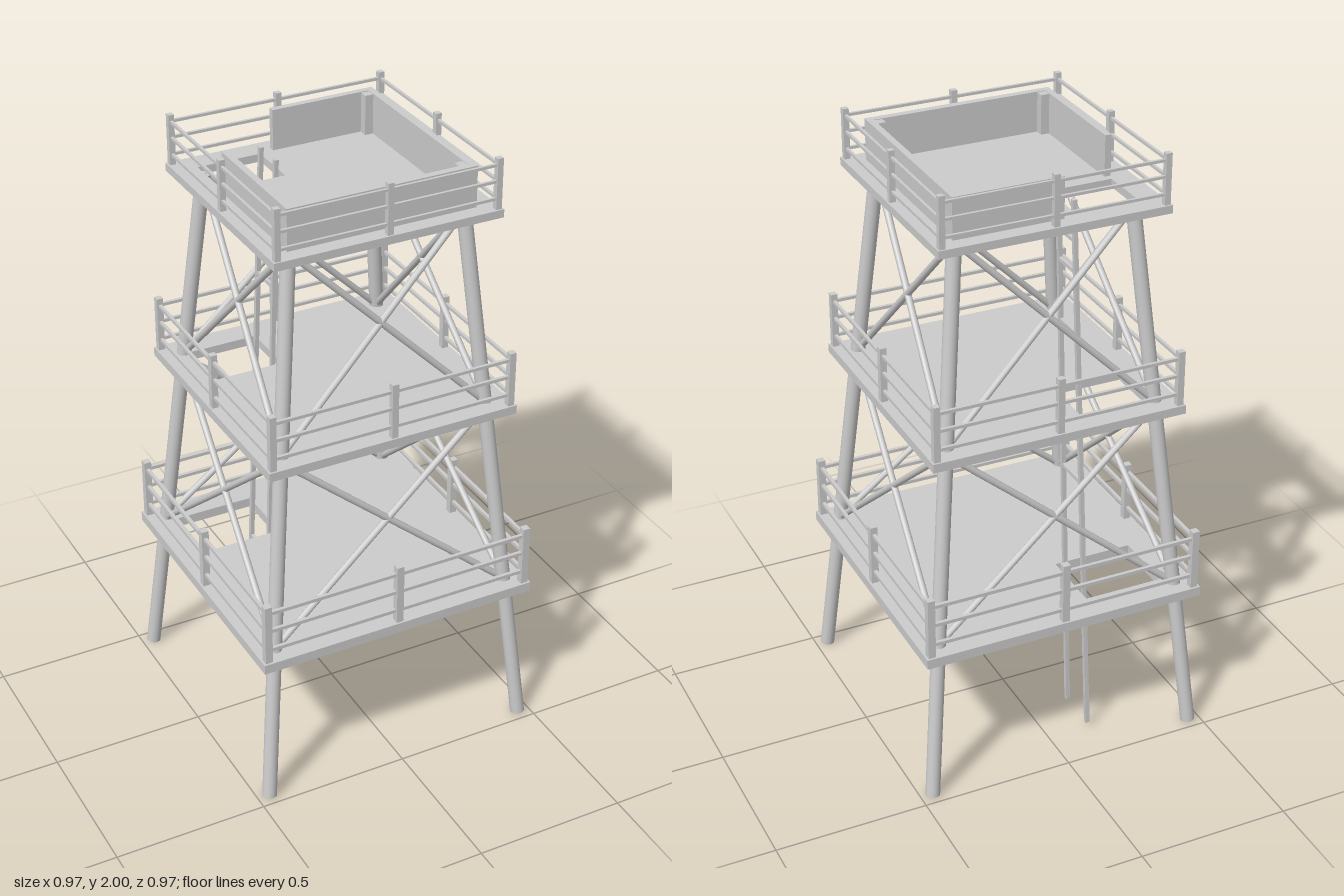
import * as THREE from 'three';

const material = new THREE.MeshStandardMaterial({ color: 0xcccccc });
const UP = new THREE.Vector3(0, 1, 0);

function add(parent, name, geometry) {
  const mesh = new THREE.Mesh(geometry, material);
  mesh.name = name;
  parent.add(mesh);
  return mesh;
}

function box(parent, name, x0, x1, y0, y1, z0, z1) {
  add(parent, name, new THREE.BoxGeometry(x1 - x0, y1 - y0, z1 - z0))
    .position.set((x0 + x1) / 2, (y0 + y1) / 2, (z0 + z1) / 2);
}

// Bar between two points: square when sides is 4, otherwise round
function bar(parent, name, a, b, size, sides = 4) {
  const length = a.distanceTo(b);
  const geometry = sides === 4
    ? new THREE.BoxGeometry(size, length, size)
    : new THREE.CylinderGeometry(size / 2, size / 2, length, sides);
  const mesh = add(parent, name, geometry);
  mesh.position.lerpVectors(a, b, 0.5);
  mesh.quaternion.setFromUnitVectors(UP, b.clone().sub(a).normalize());
}

// Floor with a ladder hatch, surrounded by a railing; built at unit size, then scaled
function makeDeck(name, y, scale) {
  const deck = new THREE.Group();
  deck.name = name;
  const half = 0.374, line = 0.359, height = 0.163;

  const shape = new THREE.Shape([
    new THREE.Vector2(-half, -half), new THREE.Vector2(half, -half),
    new THREE.Vector2(half, half), new THREE.Vector2(-half, half)]);
  shape.holes.push(new THREE.Path([
    new THREE.Vector2(-0.3, -0.3), new THREE.Vector2(-0.3, -0.127),
    new THREE.Vector2(-0.09, -0.127), new THREE.Vector2(-0.09, -0.3)]));
  const floor = new THREE.ExtrudeGeometry(shape, { depth: 0.026, bevelEnabled: false });
  add(deck, 'floor', floor.rotateX(Math.PI / 2));

  for (const i of [-1, 0, 1]) for (const j of [-1, 0, 1]) {
    if (i === 0 && j === 0) continue;
    const x = i * line, z = j * line, r = 0.0095;
    box(deck, 'railingPost', x - r, x + r, -0.022, height, z - r, z + r);
  }
  for (const level of [0.2, 0.54, 0.86]) for (const s of [-1, 1]) {
    const h = level * height;
    bar(deck, 'railingBar', new THREE.Vector3(-line, h, s * line), new THREE.Vector3(line, h, s * line), 0.009);
    bar(deck, 'railingBar', new THREE.Vector3(s * line, h, -line), new THREE.Vector3(s * line, h, line), 0.009);
  }
  deck.scale.setScalar(scale);
  deck.position.y = y;
  return deck;
}

export function createModel() {
  const tower = new THREE.Group();
  tower.name = 'watchtower';

  // Inclined corner legs
  const legAt = (y, sx, sz) => {
    const d = 0.46 - 0.0945 * y;
    return new THREE.Vector3(sx * d, y, sz * d);
  };
  for (const sx of [-1, 1]) for (const sz of [-1, 1])
    bar(tower, 'leg', legAt(0.003, sx, sz), legAt(1.82, sx, sz), 0.047, 20);

  // Crossed braces on all four sides of both upper storeys
  const corners = [[-1, -1], [1, -1], [1, 1], [-1, 1]];
  for (const [low, high] of [[0.53, 1.16], [1.18, 1.815]]) {
    corners.forEach((c, i) => {
      const d = corners[(i + 1) % 4];
      bar(tower, 'brace', legAt(low, ...c), legAt(high, ...d), 0.022, 10);
      bar(tower, 'brace', legAt(low, ...d), legAt(high, ...c), 0.022, 10);
    });
  }

  // Three decks, shrinking upwards
  tower.add(makeDeck('lowerDeck', 0.531, 1.267));
  tower.add(makeDeck('middleDeck', 1.181, 1.127));
  tower.add(makeDeck('topDeck', 1.837, 1));

  // Parapet on the top deck, open at the hatch corner
  const parapet = new THREE.Group();
  parapet.name = 'parapet';
  tower.add(parapet);
  const y0 = 1.835, y1 = 1.97;
  box(parapet, 'frontWall', -0.309, 0.309, y0, y1, 0.302, 0.325);
  box(parapet, 'leftWall', 0.288, 0.309, y0, y1, -0.325, 0.302);
  box(parapet, 'rightWall', -0.309, -0.288, y0, y1, -0.104, 0.302);
  box(parapet, 'backWall', -0.044, 0.288, y0, y1, -0.325, -0.304);
  for (const [sx, sz] of [[1, 1], [-1, 1], [1, -1]]) {
    const x = sx * 0.275, z = sz * 0.288, r = 0.0145;
    box(parapet, 'cornerPost', x - r, x + r, y0, y1 - 0.002, z - r, z + r);
  }

  // Tapering ladder through the hatches, with its few rungs
  const ladder = new THREE.Group();
  ladder.name = 'ladder';
  tower.add(ladder);
  const bottoms = [new THREE.Vector3(-0.143, 0.015, -0.204), new THREE.Vector3(-0.143, 0.015, -0.348)];
  const tops = [new THREE.Vector3(-0.097, 1.87, -0.177), new THREE.Vector3(-0.097, 1.87, -0.28)];
  bottoms.forEach((b, i) => bar(ladder, 'ladderRail', b, tops[i], 0.014));
  for (const y of [0.415, 0.925, 1.435, 1.64, 1.74]) {
    const t = (y - 0.015) / 1.855;
    const [a, b] = bottoms.map((p, i) => p.clone().lerp(tops[i], t));
    bar(ladder, 'rung', a, b, 0.012);
  }
  return tower;
}
